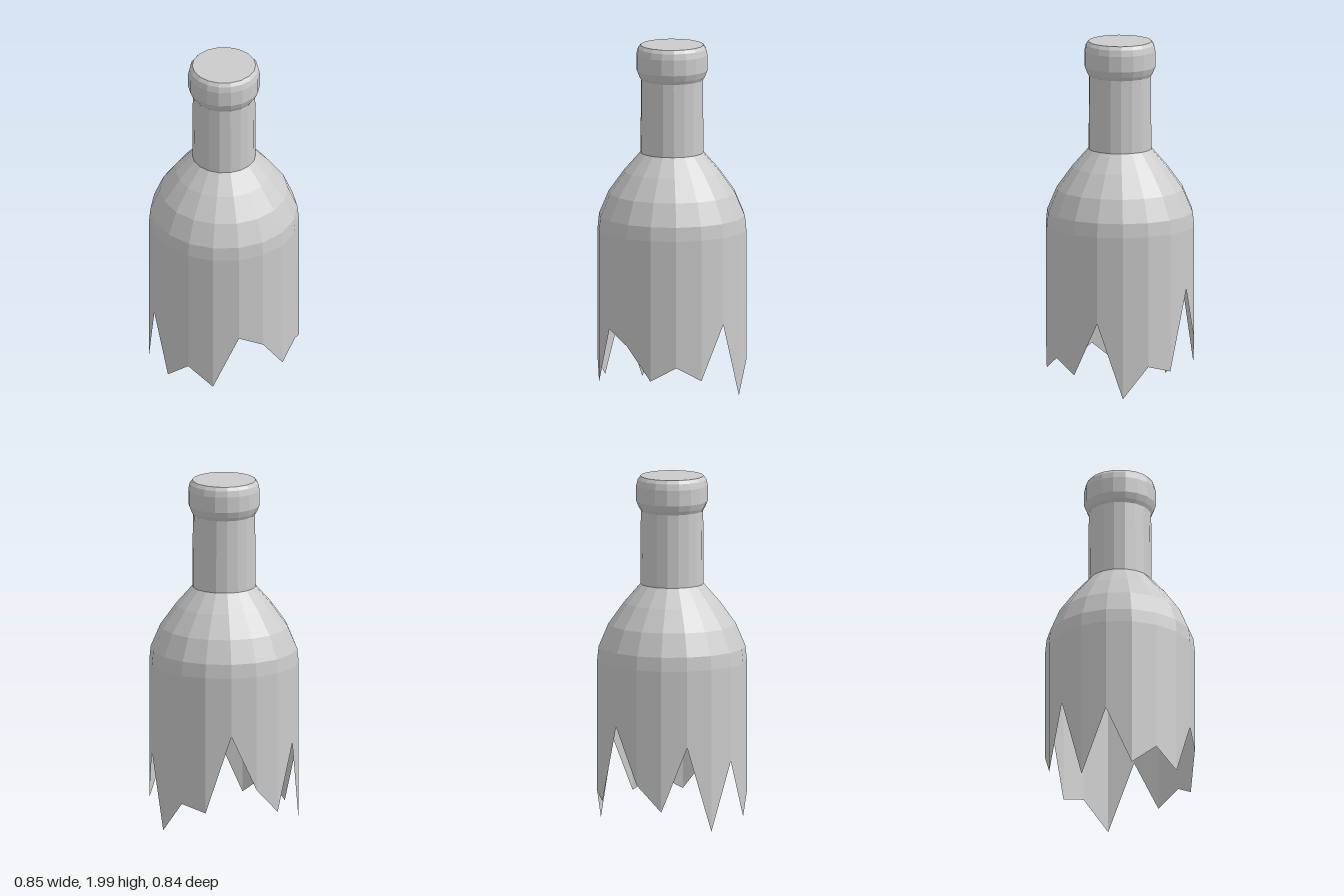
import * as THREE from 'three';

const SIDES = 18;

// Faceted surface of revolution, with a corner on the +x axis
function turned(name, profile, material) {
  const points = profile.map(([r, y]) => new THREE.Vector2(r, y));
  const geometry = new THREE.LatheGeometry(points, SIDES, Math.PI / 2);
  const mesh = new THREE.Mesh(geometry, material);
  mesh.name = name;
  return mesh;
}

export function createModel() {
  const group = new THREE.Group();
  group.name = 'brokenBottle';
  const glass = new THREE.MeshStandardMaterial({
    color: 0xcccccc, flatShading: true, side: THREE.DoubleSide,
  });

  // Body and shoulder, open at the bottom
  const body = turned('body', [
    [0.425, 0], [0.425, 0.94], [0.417, 1.02], [0.362, 1.15], [0.272, 1.275], [0.18, 1.38],
  ], glass);

  // Broken rim: one height per corner, running from +x round by the back
  const shards = [
    0.13, 0.44, 0.01, 0.19, 0.15, 0.6, 0.28, 0.13, 0.5,
    0.01, 0.4, 0.06, 0.18, 0.07, 0.4, 0.32, 0.13, 0.21,
  ];
  const position = body.geometry.attributes.position;
  const rows = position.count / (SIDES + 1);
  for (let i = 0; i <= SIDES; i++) position.setY(i * rows, shards[i % SIDES]);
  body.geometry.computeVertexNormals();
  group.add(body);

  // Neck
  group.add(turned('neck', [[0.18, 1.38], [0.177, 1.8]], glass));

  // Rounded lip
  group.add(turned('lip', [
    [0.177, 1.8], [0.189, 1.82], [0.203, 1.855], [0.203, 1.945], [0.195, 1.98], [0.18, 2],
  ], glass));

  // Flat closed top
  group.add(turned('top', [[0.18, 2], [0, 2]], glass));

  return group;
}
